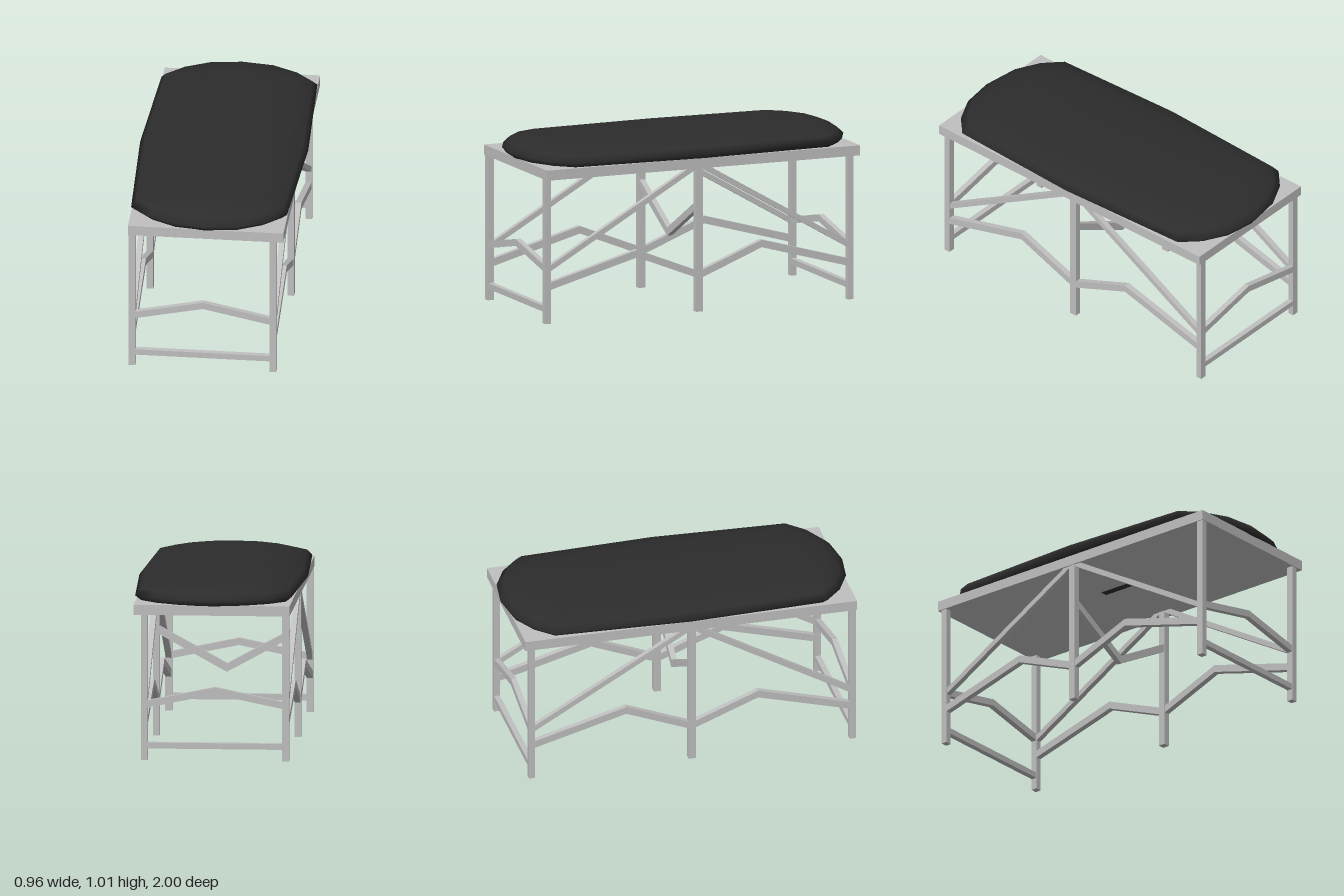
import * as THREE from 'three';

const frameMat = new THREE.MeshStandardMaterial({ color: 0xbfbfbf });
frameMat.name = 'greyFrame';
const padMat = new THREE.MeshStandardMaterial({ color: 0x2c2c2c });
padMat.name = 'blackPad';

// Box given by its extents on each axis
function box(name, [x0, x1], [y0, y1], [z0, z1], mat = frameMat) {
  const mesh = new THREE.Mesh(new THREE.BoxGeometry(x1 - x0, y1 - y0, z1 - z0), mat);
  mesh.position.set((x0 + x1) / 2, (y0 + y1) / 2, (z0 + z1) / 2);
  mesh.name = name;
  return mesh;
}

// Bent bar: lower edge points [u, y], with a constant vertical thickness
function bar(name, lower, thick, depth) {
  const upper = lower.map(([u, y]) => [u, y + thick]).reverse();
  const shape = new THREE.Shape([...lower, ...upper].map(([u, y]) => new THREE.Vector2(u, y)));
  const geo = new THREE.ExtrudeGeometry(shape, { depth, bevelEnabled: false });
  geo.translate(0, 0, -depth / 2);
  const mesh = new THREE.Mesh(geo, frameMat);
  mesh.name = name;
  return mesh;
}

// Cushion: one rounded outline, scaled into stacked rings
function cushionGeometry() {
  const quarter = [[0, 1], [0.19, 0.975], [0.34, 0.9], [0.445, 0.8], [0.48, 0]];
  const half = [...quarter, ...quarter.slice(0, 4).reverse().map(([x, z]) => [x, -z])];
  const outline = [...half, ...half.slice(1, -1).reverse().map(([x, z]) => [-x, z])];
  // x scale, z scale, height
  const rings = [[0, 0, 0.888], [0.92, 0.98, 0.891], [1, 1, 0.922], [0.94, 0.965, 0.957],
    [0.73, 0.9, 0.985], [0.4, 0.8, 1.0], [0, 0.3, 1.006]];
  const n = outline.length;
  const pos = [];
  const index = [];
  rings.forEach(([sx, sz, y], i) => outline.forEach(([x, z], k) => {
    pos.push(x * sx, y, z * sz);
    if (i === rings.length - 1) return;
    const a = i * n + k;
    const b = i * n + (k + 1) % n;
    index.push(a, b, b + n, a, b + n, a + n);
  }));
  const geo = new THREE.BufferGeometry();
  geo.setAttribute('position', new THREE.Float32BufferAttribute(pos, 3));
  geo.setIndex(index);
  geo.computeVertexNormals();
  return geo;
}

export function createModel() {
  const group = new THREE.Group();

  // Top board, cushion and the small slot under the board
  group.add(box('tableTop', [-0.445, 0.443], [0.835, 0.893], [-0.967, 0.975]));
  const cushion = new THREE.Mesh(cushionGeometry(), padMat);
  cushion.name = 'cushion';
  group.add(cushion);
  group.add(box('undersideSlot', [-0.05, -0.01], [0.832, 0.837], [-0.09, 0.13], padMat));

  const legX = [[-0.44, -0.402], [0.364, 0.402]];
  const legZ = [[0.932, 0.97], [-0.01, 0.032], [-0.945, -0.91]];
  const midX = -0.018;

  for (const x of legX) {
    for (const z of legZ) group.add(box('leg', x, [0, 0.836], z));

    // Side braces: bent stretchers and long diagonals on each side
    const cx = (x[0] + x[1]) / 2;
    const sides = [
      bar('sideStretcher', [[-0.915, 0.193], [-0.375, 0.342], [0, 0.193]], 0.043, 0.034),
      bar('sideStretcher', [[0.02, 0.193], [0.397, 0.342], [0.94, 0.193]], 0.043, 0.034),
      bar('sideDiagonal', [[-0.915, 0.3], [0, 0.829]], 0.035, 0.032),
      bar('sideDiagonal', [[0.02, 0.829], [0.937, 0.3]], 0.035, 0.032),
    ];
    for (const s of sides) {
      s.rotation.y = -Math.PI / 2;
      s.position.x = cx;
      group.add(s);
    }
  }

  // Cross braces: arched at both ends with a foot rail, V-shaped in the middle
  legZ.forEach((z, i) => {
    const cz = (z[0] + z[1]) / 2;
    const mid = i === 1;
    const [yEnd, yMid] = mid ? [0.58, 0.368] : [0.3, 0.38];
    const brace = bar(mid ? 'middleBrace' : 'endBrace',
      [[-0.405, yEnd], [midX, yMid], [0.367, yEnd]], mid ? 0.047 : 0.04, 0.032);
    brace.position.z = cz;
    group.add(brace);
    if (!mid) group.add(box('footRail', [-0.405, 0.367], [0.066, 0.1], [cz - 0.016, cz + 0.016]));
  });

  return group;
}
